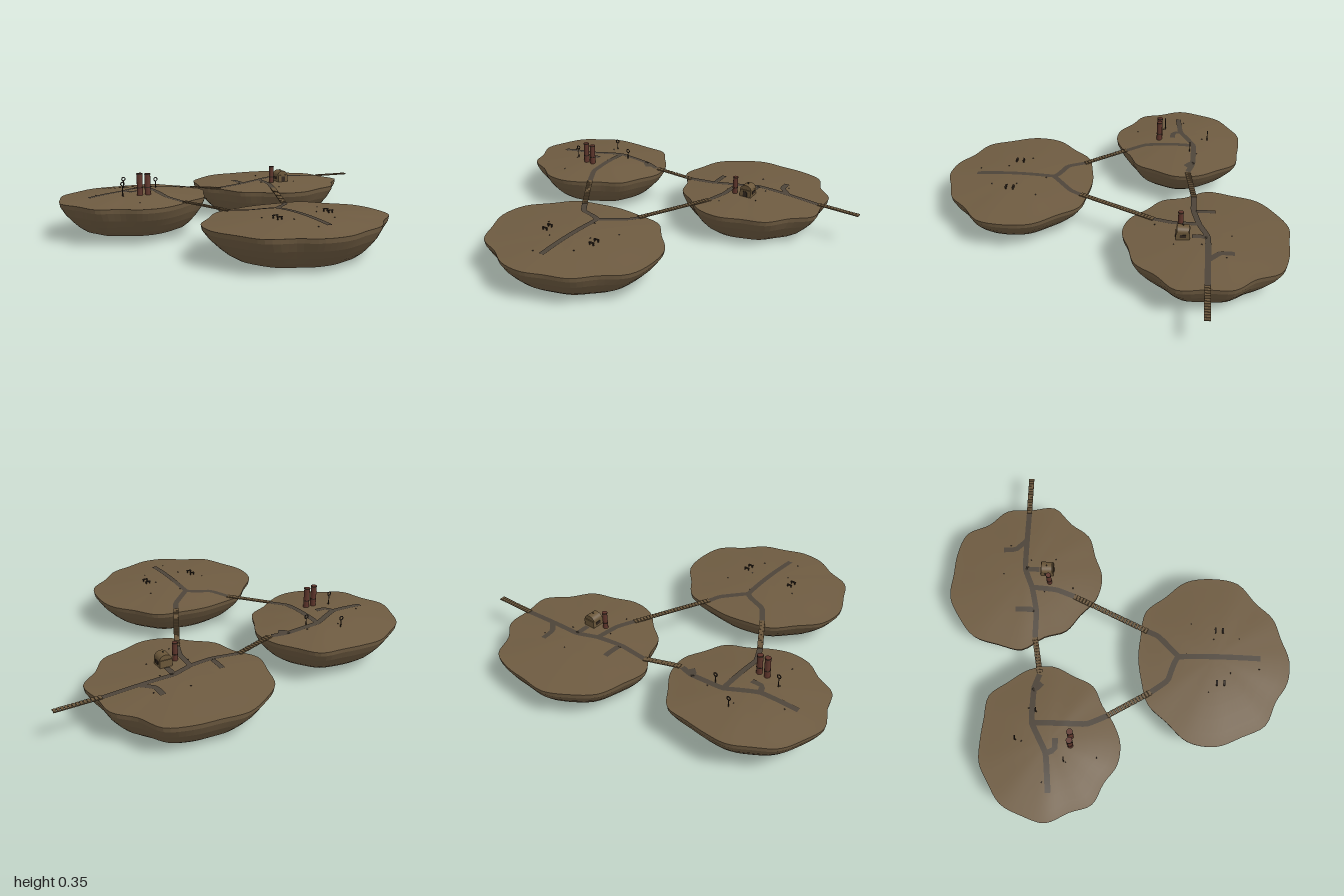
import * as THREE from 'three';

const mat = (name, color, side = THREE.FrontSide) => {
  const m = new THREE.MeshStandardMaterial({ color, side });
  m.name = name;
  return m;
};

// Radii of each lobed shoreline, at equal angles from +x towards +z
const WEST = [.41, .375, .375, .337, .348, .37, .375, .358, .395, .38, .415, .4, .4, .375, .375, .36, .367, .41, .395, .41];
const EAST = [.417, .455, .41, .428, .406, .428, .422, .39, .404, .385, .44, .433, .455, .441, .439, .41, .42, .436, .393, .428];
const SOUTH = [.476, .47, .41, .41, .39, .409, .412, .4, .449, .449, .481, .481, .439, .441, .412, .409, .417, .457, .444, .476];

// Skin consecutive rings of equal length, ordered from top to bottom
function loft(rings, flat) {
  const n = rings[0].length, index = [];
  for (let r = 0; r < rings.length - 1; r++)
    for (let i = 0; i < n; i++) {
      const j = (i + 1) % n, a = r * n, b = a + n;
      index.push(a + i, b + j, b + i, a + i, a + j, b + j);
    }
  let g = new THREE.BufferGeometry().setFromPoints(rings.flat());
  g.setIndex(index);
  if (flat) g = g.toNonIndexed();
  g.computeVertexNormals();
  return g;
}

export function createModel() {
  const soil = mat('soil', 0x6e5b41);
  const trailEarth = mat('trail earth', 0x4d4439, THREE.DoubleSide);
  const wood = mat('bridge wood', 0x6b573c);
  const redStone = mat('red stone', 0x5e352b);
  const dark = mat('dark timber', 0x33281f);
  const hutWall = mat('hut wall', 0x6a5639);
  const model = new THREE.Group();
  const add = (parent, name, geo, material, x = 0, y = 0, z = 0) => {
    const m = new THREE.Mesh(geo, material);
    m.name = name;
    m.position.set(x, y, z);
    parent.add(m);
    return m;
  };
  const group = (name, x = 0, y = 0, z = 0) => {
    const g = new THREE.Group();
    g.name = name;
    g.position.set(x, y, z);
    model.add(g);
    return g;
  };

  // Islands: smooth domed top, faceted underside that tapers and rounds off
  const tops = [];
  const island = (name, cx, cz, base, rim, peak, radii) => {
    const shore = radii.map((r, i) => {
      const a = i / radii.length * Math.PI * 2;
      return new THREE.Vector3(Math.cos(a) * r, 0, Math.sin(a) * r);
    });
    const edge = new THREE.CatmullRomCurve3(shore, true).getPoints(80).slice(0, 80);
    const size = new THREE.Box3().setFromPoints(edge).getSize(new THREE.Vector3());
    const ring = (s, y, round = 0) => edge.map(p => {
      const a = Math.atan2(p.z / size.z, p.x / size.x);
      const x = THREE.MathUtils.lerp(p.x, Math.cos(a) * size.x * 0.485, round);
      const z = THREE.MathUtils.lerp(p.z, Math.sin(a) * size.z * 0.485, round);
      return new THREE.Vector3(cx + x * s, y, cz + z * s);
    });
    const g = group(name);
    const dome = [0, .12, .25, .4, .55, .7, .85, .95, 1].map(t =>
      ring(t, rim + (peak - rim) * Math.pow(1 - t * t, 1.3)));
    tops.push(add(g, 'islandTop', loft(dome), soil));
    const sides = [[1, 1, 0], [.99, .86, 0], [.93, .6, .15], [.85, .36, .3], [.77, .16, .4], [.68, 0, .5]]
      .map(([s, t, round]) => ring(s, base + (rim - base) * t, round));
    add(g, 'islandSide', loft(sides, true), soil);
    add(g, 'islandBase', loft([ring(.68, base, .5), ring(0, base)], true), soil);
  };
  island('westIsland', -.583, -.348, .04, .203, .235, WEST);
  island('eastIsland', .37, -.525, 0, .176, .199, EAST);
  island('southIsland', -.107, .52, .015, .18, .208, SOUTH);

  // Ground height under a point, with bridge level past the shore
  model.updateMatrixWorld(true);
  const ray = new THREE.Raycaster();
  const ground = (x, z) => {
    ray.set(new THREE.Vector3(x, 1, z), new THREE.Vector3(0, -1, 0));
    const hit = ray.intersectObjects(tops)[0];
    return hit ? hit.point.y : 0.172;
  };

  // Trails draped over the ground
  const trail = (...path) => {
    const curve = new THREE.CatmullRomCurve3(path.map(([x, z]) => new THREE.Vector3(x, 0, z)), false, 'catmullrom', 0.15);
    const n = Math.ceil(curve.getLength() / 0.02), left = [], right = [];
    for (let i = 0; i <= n; i++) {
      const p = curve.getPointAt(i / n), t = curve.getTangentAt(i / n);
      for (const [row, w] of [[left, 0.015], [right, -0.015]]) {
        const x = p.x + t.z * w, z = p.z - t.x * w;
        row.push(new THREE.Vector3(x, ground(x, z) + 0.004, z));
      }
    }
    const g = new THREE.BufferGeometry().setFromPoints([...left, ...right]), index = [];
    for (let i = 0; i < n; i++) index.push(i, n + 1 + i, i + 1, i + 1, n + 1 + i, n + 2 + i);
    g.setIndex(index);
    g.computeVertexNormals();
    add(model, 'trail', g, trailEarth);
  };
  // West island trails
  trail([-.85, -.34], [-.65, -.36], [-.49, -.44], [-.3, -.44], [-.22, -.415]);
  trail([-.65, -.36], [-.63, -.315], [-.57, -.315]);
  trail([-.315, -.44], [-.27, -.4]);
  trail([-.49, -.44], [-.49, -.16], [-.44, -.05]);
  // South island trails
  trail([-.3, .18], [-.235, .27], [-.105, .33], [-.105, .77]);
  trail([-.105, .33], [.015, .22], [.045, .16]);
  // East island trails
  trail([.245, -.25], [.28, -.35], [.29, -.48]);
  trail([0, -.455], [.15, -.455], [.29, -.485], [.41, -.53], [.77, -.53]);
  trail([.16, -.46], [.16, -.57]);
  trail([.58, -.535], [.525, -.59], [.52, -.66]);
  trail([.4, -.525], [.4, -.45]);

  // Plank bridges on two thin ropes
  const bridge = (x0, z0, x1, z1) => {
    const g = group('bridge');
    const a = new THREE.Vector3(x0, ground(x0, z0) + 0.006, z0);
    const b = new THREE.Vector3(x1, ground(x1, z1) + 0.004, z1);
    const n = Math.round(a.distanceTo(b) / 0.018);
    const yaw = Math.atan2(x1 - x0, z1 - z0);
    for (let i = 0; i < n; i++) {
      const p = a.clone().lerp(b, (i + 0.5) / n);
      add(g, 'plank', new THREE.BoxGeometry(0.03, 0.005, 0.015), wood, p.x, p.y, p.z).rotation.y = yaw;
    }
    for (const s of [-0.011, 0.011]) {
      const off = new THREE.Vector3(Math.cos(yaw) * s, -0.003, -Math.sin(yaw) * s);
      add(g, 'rope', new THREE.TubeGeometry(new THREE.LineCurve3(a.clone().add(off), b.clone().add(off)), 1, 0.002, 5), wood);
    }
  };
  bridge(-.44, -.05, -.3, .18);
  bridge(.045, .16, .245, -.25);
  bridge(-.21, -.415, 0, -.455);
  bridge(.765, -.53, 1, -.53);

  // Red stone pillars
  for (const [x, z, r, top] of [[-.605, -.235, .016, .348], [-.56, -.235, .016, .343], [.325, -.39, .014, .293]]) {
    const y = ground(x, z) - 0.01, g = group('pillar', x, 0, z);
    add(g, 'pillarShaft', new THREE.CylinderGeometry(r * 0.95, r, top - y, 12), redStone, 0, (top + y) / 2, 0);
    for (const t of [0.4, 0.97])
      add(g, 'pillarBand', new THREE.CylinderGeometry(r + .001, r + .001, .005, 12), dark, 0, y + (top - y) * t, 0);
  }

  // Lamps: thin post with a ring on top
  for (const [x, z, top] of [[-.69, -.265, .293], [-.58, -.52, .275], [-.43, -.42, .275]]) {
    const y = ground(x, z), g = group('lamp', x, 0, z), h = top - .012 - y;
    add(g, 'lampPost', new THREE.CylinderGeometry(.002, .003, h, 6), dark, 0, y + h / 2, 0);
    add(g, 'lampRing', new THREE.TorusGeometry(.01, .003, 6, 12), dark, 0, top, 0);
  }

  // Small hut with an arched roof
  const hut = group('hut', .397, ground(.397, -.405), -.405);
  add(hut, 'hutWalls', new THREE.BoxGeometry(.066, .045, .07), hutWall, 0, .017, 0);
  const roof = add(hut, 'hutRoof', new THREE.CylinderGeometry(.033, .033, .06, 16, 1, false, -Math.PI / 2, Math.PI), hutWall, 0, .039, 0);
  roof.rotation.x = -Math.PI / 2;
  roof.scale.z = 0.8;
  add(hut, 'doorway', new THREE.BoxGeometry(.024, .03, .004), dark, 0, .016, .036);
  for (const s of [-1, 1]) add(hut, 'window', new THREE.BoxGeometry(.004, .016, .03), dark, s * .034, .022, 0);
  add(hut, 'finial', new THREE.SphereGeometry(.004, 8, 6), dark, 0, .069, 0);

  // Benches in facing pairs
  for (const x of [-.25, .047]) for (const z of [.53, .57]) {
    const g = group('bench', x, ground(x, z), z);
    add(g, 'seat', new THREE.BoxGeometry(.03, .004, .009), dark, 0, .014, 0);
    for (const s of [-.011, .011]) add(g, 'benchLeg', new THREE.BoxGeometry(.004, .014, .007), dark, s, .007, 0);
  }

  // Scattered pebbles
  const pebble = new THREE.IcosahedronGeometry(.004, 0);
  for (const [cx, cz] of [[-.6, -.34], [.36, -.5], [-.1, .52]])
    for (let i = 0; i < 7; i++) {
      const a = i * 2.4, r = 0.1 + 0.025 * i, x = cx + Math.cos(a) * r, z = cz + Math.sin(a) * r;
      add(model, 'pebble', pebble, dark, x, ground(x, z), z);
    }
  return model;
}
